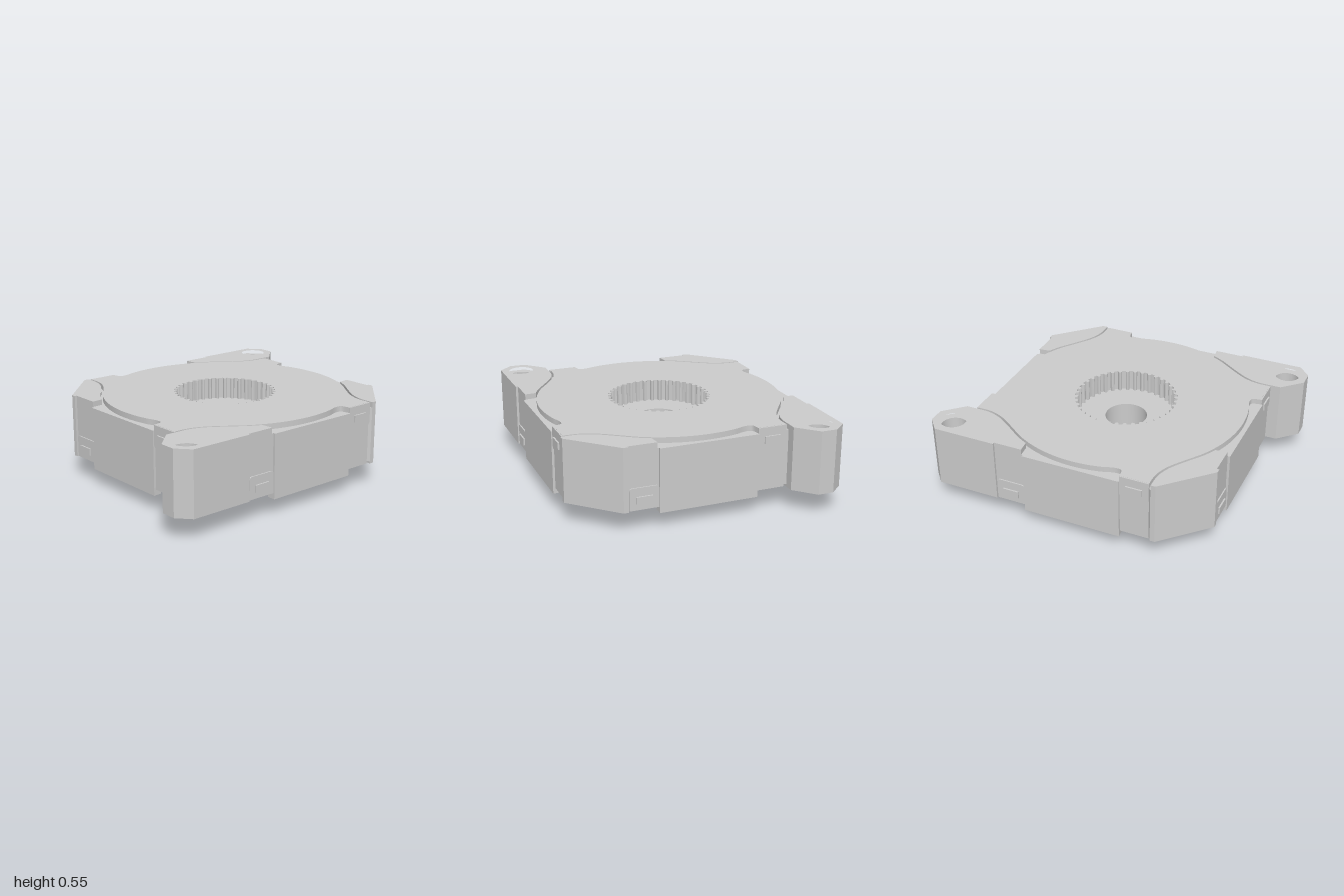
import * as THREE from 'three';
import { toCreasedNormals } from 'three/addons/utils/BufferGeometryUtils.js';

const material = new THREE.MeshStandardMaterial({ color: 0xcccccc });

// Quarter turn k times in plan: front -> +x side -> back -> -x side
const turn = ([x, z], k) => [[x, z], [z, -x], [-x, -z], [-z, x]][k % 4];
const turnAll = (pts, k) => pts.map(p => turn(p, k));
const toV2 = pts => pts.map(([x, z]) => new THREE.Vector2(x, -z));

// Horizontal slab from a plan outline [x, z] with holes, between two heights
function slab(name, outline, holes, y0, y1) {
  const shape = new THREE.Shape(toV2(outline));
  shape.holes = holes.map(h => new THREE.Path(toV2(h)));
  const g = new THREE.ExtrudeGeometry(shape, { depth: y1 - y0, bevelEnabled: false });
  g.rotateX(-Math.PI / 2).translate(0, y0, 0);
  const mesh = new THREE.Mesh(toCreasedNormals(g, 0.45), material);
  mesh.name = name;
  return mesh;
}

function circle(cx, cz, r, n = 56) {
  return Array.from({ length: n }, (_, i) => {
    const a = i / n * Math.PI * 2;
    return [cx + r * Math.cos(a), cz + r * Math.sin(a)];
  });
}

// Circle with rounded scallops cut inwards
function knurl(r, depth, teeth = 40) {
  const pts = [];
  const step = Math.PI * 2 / teeth;
  for (let t = 0; t < teeth; t++) {
    pts.push([r, t * step]);
    for (let j = 0; j <= 6; j++) {
      const u = j / 6;
      pts.push([r - depth * Math.sin(u * Math.PI), (t + 0.28 + 0.5 * u - 0.07 * Math.sin(u * 2 * Math.PI)) * step]);
    }
  }
  return pts.map(([d, a]) => [d * Math.cos(a), d * Math.sin(a)]);
}

const spline = (pts, n) => new THREE.SplineCurve(pts.map(p => new THREE.Vector2(...p)))
  .getPoints(n).map(v => [v.x, v.y]);

// One quarter of the round centre plate: S-curve, arc, small bump, latch edge
const sCurve = spline([[-0.805, 0.5], [-0.71, 0.503], [-0.62, 0.533], [-0.53, 0.59], [-0.42, 0.669]], 24);
const arc = [];
for (let i = 1; i <= 28; i++) {
  const x = -0.42 + 0.62 * i / 28;
  arc.push([x, Math.sqrt(0.79 * 0.79 - x * x)]);
}
const bump = spline([[0.2, 0.764], [0.24, 0.75], [0.28, 0.745], [0.305, 0.757], [0.315, 0.805]], 14).slice(1);
const quarter = [...sCurve, ...arc, ...bump];
const plateOutline = [0, 1, 2, 3].flatMap(k => turnAll(quarter, k));

// Outer corner contours, alternating ear and chamfer
const earEdge = [[-0.815, 0.514], [-0.875, 0.514], [-1, 0.635], [-1, 0.735], [-0.925, 0.82], [-0.515, 0.82], [-0.515, 0.805]];
const chamferEdge = [[-0.82, 0.514], [-0.82, 0.545], [-0.545, 0.82], [-0.515, 0.82], [-0.515, 0.805]];
const sideEdge = [[-0.32, 0.805], [-0.32, 0.82], [0.315, 0.82], [0.315, 0.805], [0.5, 0.805]];
const cornerEdge = k => (k % 2 ? chamferEdge : earEdge);
const bodyOutline = [0, 1, 2, 3].flatMap(k => turnAll([...cornerEdge(k), ...sideEdge], k));

// Vertical panel on the front face, with two corners rounded at the inner end
function latch(isTop) {
  const group = new THREE.Group();
  group.name = isTop ? 'upperLatch' : 'lowerLatch';
  const w = 0.093, h = 0.07, r = 0.02;
  const s = new THREE.Shape();
  s.moveTo(-w, h);
  s.lineTo(-w, -h + r);
  s.quadraticCurveTo(-w, -h, -w + r, -h);
  s.lineTo(w - r, -h);
  s.quadraticCurveTo(w, -h, w, -h + r);
  s.lineTo(w, h);
  const tab = new THREE.Mesh(new THREE.ExtrudeGeometry(s, { depth: 0.018, bevelEnabled: false, curveSegments: 6 }), material);
  tab.name = 'latchTab';
  tab.position.z = 0.795;
  if (!isTop) tab.rotation.z = Math.PI;
  group.add(tab);
  // Raised window frame around the catch
  const f = new THREE.Shape(toV2([[-0.052, -0.023], [0.052, -0.023], [0.052, 0.023], [-0.052, 0.023]]));
  f.holes.push(new THREE.Path(toV2([[-0.04, -0.006], [0.04, -0.006], [0.04, 0.014], [-0.04, 0.014]])));
  const frame = new THREE.Mesh(new THREE.ExtrudeGeometry(f, { depth: 0.012, bevelEnabled: false }), material);
  frame.name = 'latchCatch';
  frame.position.set(0, -0.008, 0.811);
  group.add(frame);
  group.position.set(isTop ? 0.408 : -0.415, isTop ? 0.474 : 0.213, 0);
  return group;
}

export function createModel() {
  const model = new THREE.Group();
  model.name = 'housing';
  const bore = circle(0, 0, 0.135);
  const socket = knurl(0.33, 0.02);
  const ears = [circle(-0.87, 0.69, 0.082), circle(0.87, -0.69, 0.082)];

  // Main body: solid floor below, knurled socket above
  model.add(slab('lowerBody', bodyOutline, [bore, ...ears], 0.155, 0.405));
  model.add(slab('upperBody', bodyOutline, [socket, ...ears], 0.405, 0.51));

  // Centre plates, separated from the corners by narrow grooves
  model.add(slab('topPlate', plateOutline, [socket], 0.51, 0.545));
  model.add(slab('bottomPlate', plateOutline, [bore], 0.14, 0.155));

  // Knurled hub below
  model.add(slab('knurledHub', knurl(0.323, 0.02), [bore], 0, 0.145));

  // Inner edge of the corner plates follows the S-curve, one groove away
  const inner = [...sCurve, ...arc.filter(p => p[0] < -0.33)].map(([x, z]) => [x - 0.006, z + 0.014]);
  // Crescent ribs follow the round plate along each side
  const ribInner = [...arc, ...bump].filter(p => p[0] > -0.31 && p[0] < 0.3)
    .map(([x, z]) => [x, Math.max(0.755, z + 0.01)]);
  const rib = [[-0.32, 0.765], ...ribInner, [0.31, 0.768], [0.315, 0.82], [-0.32, 0.82]];

  for (let k = 0; k < 4; k++) {
    const corner = turnAll([...inner, [-0.33, 0.805], ...cornerEdge(k).slice().reverse()], k);
    const holes = k % 2 ? [] : [ears[k / 2]];
    model.add(slab('topCorner', corner, holes, 0.51, 0.545));
    model.add(slab('bottomCorner', corner, holes, 0.14, 0.155));
    model.add(slab('bottomRib', turnAll(rib, k), [], 0.105, 0.155));

    const side = new THREE.Group();
    side.name = 'sideLatches';
    side.add(latch(true), latch(false));
    side.rotation.y = k * Math.PI / 2;
    model.add(side);
  }
  return model;
}
